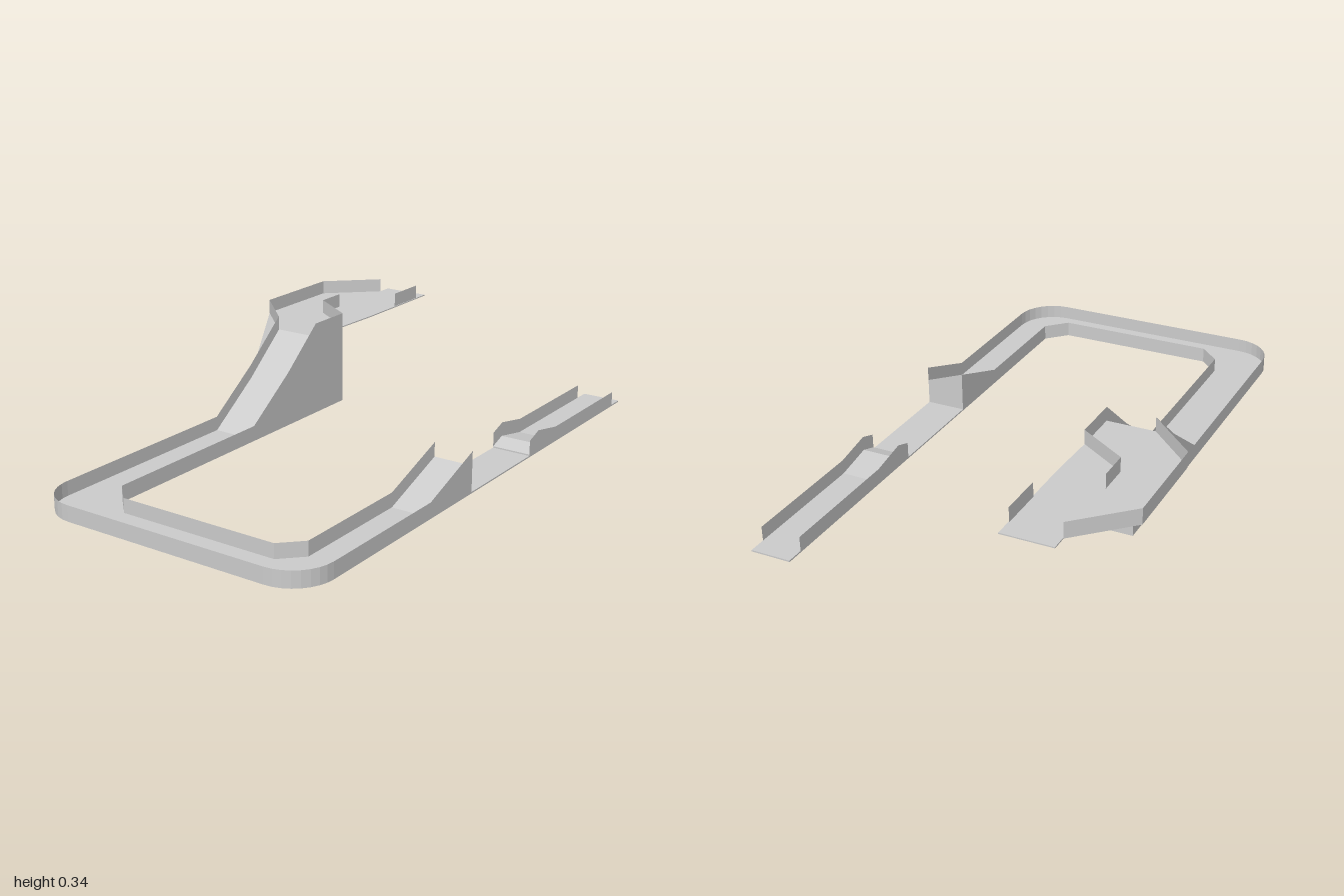
import * as THREE from 'three';
import { ConvexGeometry } from 'three/addons/geometries/ConvexGeometry.js';

const FLOOR = 0.005, DECK = 0.29, RIM = 0.05;
const IN = -0.262, OUT = -0.43;   // back lane, z of its edges
const NEAR = 0.6, FAR = 0.46;     // front lane, z of its edges

export function createModel() {
  const model = new THREE.Group();
  const mat = new THREE.MeshStandardMaterial({ color: 0xcccccc, flatShading: true });
  const sheet = mat.clone();
  sheet.side = THREE.DoubleSide;

  const add = (name, geometry, material = mat) => {
    const mesh = new THREE.Mesh(geometry, material);
    mesh.name = name;
    model.add(mesh);
  };
  const shapeOf = pts => new THREE.Shape(pts.map(p => new THREE.Vector2(p[0], p[1])));

  // Flat plate from an x/z outline
  const plate = (name, outline, top, thickness) => {
    const g = new THREE.ExtrudeGeometry(shapeOf(outline), { depth: thickness, bevelEnabled: false });
    add(name, g.rotateX(Math.PI / 2).translate(0, top, 0));
  };
  // Solid from an x/y profile, spanning z0 to z1
  const prism = (name, profile, z0, z1) => {
    const g = new THREE.ExtrudeGeometry(shapeOf(profile), { depth: z1 - z0, bevelEnabled: false });
    add(name, g.translate(0, 0, z0));
  };
  // Thin upright rim following floor points [x, y, z]
  const rim = (name, path) => {
    const pos = [], index = [];
    path.forEach(([x, y, z], i) => {
      pos.push(x, y, z, x, y + RIM, z);
      const a = i * 2;
      if (i) index.push(a - 2, a, a - 1, a, a + 1, a - 1);
    });
    const g = new THREE.BufferGeometry();
    g.setAttribute('position', new THREE.Float32BufferAttribute(pos, 3));
    g.setIndex(index);
    g.computeVertexNormals();
    add(name, g, sheet);
  };
  const hull = (name, pts) =>
    add(name, new ConvexGeometry(pts.map(p => new THREE.Vector3(...p))));
  const arc = (cx, cz, r, from, to, n = 8) => Array.from({ length: n + 1 }, (_, i) => {
    const a = from + (to - from) * i / n;
    return [cx + r * Math.cos(a), cz + r * Math.sin(a)];
  });

  // U-shaped ground track: rounded outside, chamfered inside
  const R = 0.14, PI = Math.PI;
  const outerBend = [
    ...arc(-1 + R, NEAR - R, R, PI / 2, PI),
    ...arc(-1 + R, OUT + R, R, PI, PI * 1.5),
  ];
  const innerBend = [[-0.79, IN], [-0.86, -0.19], [-0.86, 0.39], [-0.79, FAR]];
  plate('groundTrack',
    [[1, NEAR], ...outerBend, [0.42, OUT], [0.42, IN], ...innerBend, [1, FAR]], FLOOR, FLOOR);

  // Floor lines of the ramps
  const jump = [[-0.35, FLOOR], [-0.1, 0.095]];
  const landing = [[0.29, 0.01], [0.35, 0.03], [0.48, FLOOR]];
  const climb = [[-0.12, FLOOR], [0.08, 0.147], [0.25, DECK]];
  prism('jumpRamp', [[-0.35, 0], [-0.1, 0], ...jump.slice().reverse()], FAR, NEAR);
  prism('landingRamp', [[0.29, 0], [0.48, 0], ...landing.slice().reverse()], FAR, NEAR);
  prism('climbBlock', [[-0.12, 0], [0.42, 0], [0.42, DECK], ...climb.slice().reverse()], OUT, IN);

  // Rims of the ground track, running up the jump and the climb
  const at = (line, z) => line.map(([x, y]) => [x, y, z]);
  const ground = pts => pts.map(([x, z]) => [x, FLOOR, z]);
  rim('outerRim', [
    ...at(jump, NEAR).reverse(), ...ground(outerBend), ...at(climb, OUT),
    [0.415, DECK, -0.6], [0.77, DECK, -0.6], [0.93, DECK, OUT],
  ]);
  rim('innerRim', [
    ...at(jump, FAR).reverse(), ...ground(innerBend.slice().reverse()), ...at(climb, IN),
    [0.42, DECK, IN], [0.53, DECK, OUT], [0.64, DECK, OUT],
  ]);
  rim('deckFrontRim', [[0.77, DECK, -0.258], [0.925, DECK, -0.258]]);
  for (const [name, z] of [['landingNearRim', NEAR], ['landingFarRim', FAR]])
    rim(name, [...at(landing, z), [0.94, FLOOR, z]]);

  // Raised deck
  plate('deck', [[0.25, IN], [0.42, IN], [0.6, -0.255], [0.985, -0.255], [0.985, OUT],
    [0.93, OUT], [0.77, -0.6], [0.415, -0.6], [0.25, OUT]], DECK, 0.004);

  // Brace and shoulder below the widened part of the deck
  const apex = [0.42, 0.145, OUT], corner = [0.415, DECK - 0.002, -0.6];
  hull('deckBrace', [apex, corner, [0.42, DECK - 0.002, IN],
    [0.6, DECK - 0.002, OUT], [0.6, DECK - 0.002, -0.6]]);
  hull('deckShoulder', [apex, corner, [0.07, 0.14, OUT],
    [0.25, DECK - 0.002, OUT], [0.42, DECK - 0.002, OUT]]);

  return model;
}
